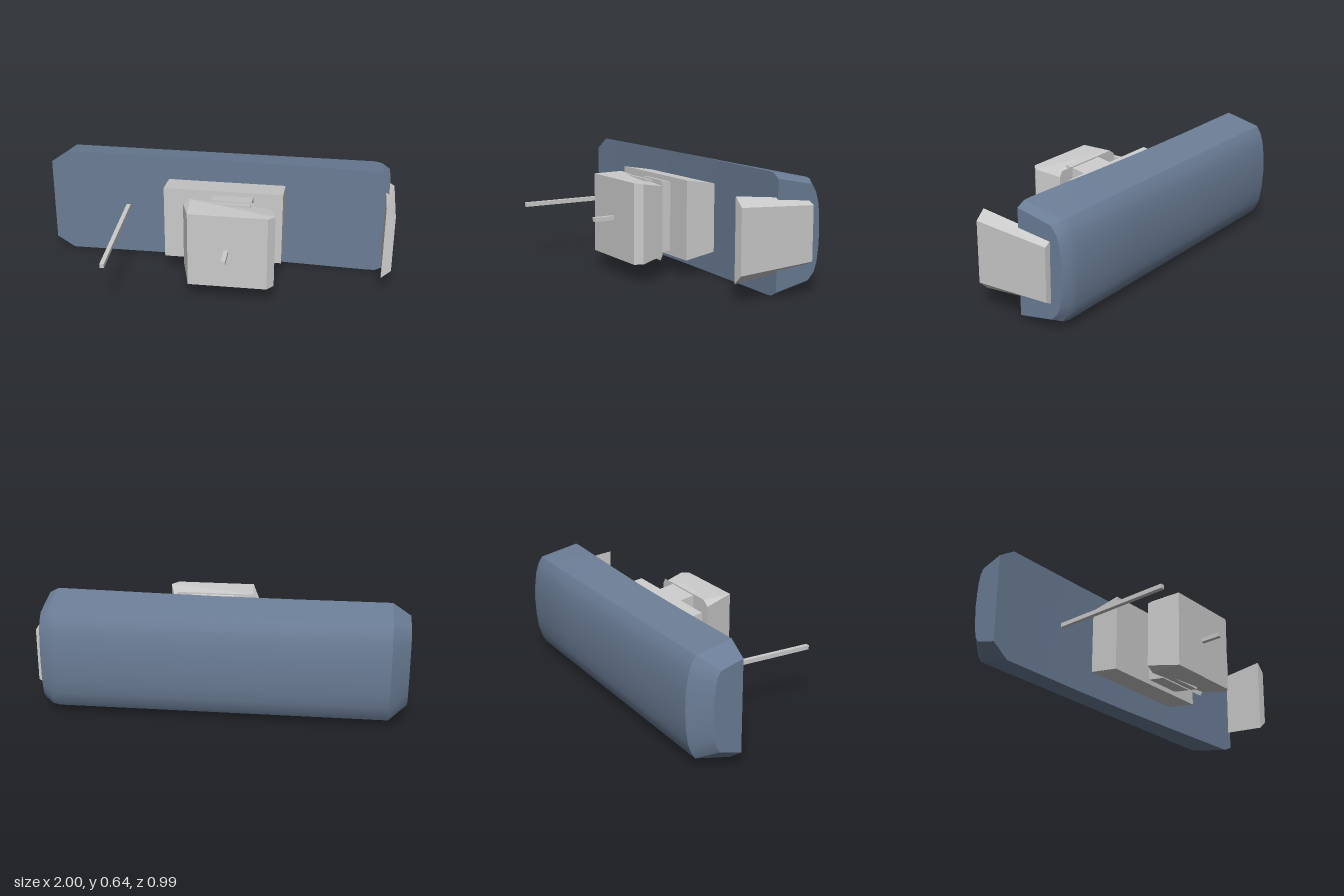
import * as THREE from 'three';
import { toCreasedNormals } from 'three/addons/utils/BufferGeometryUtils.js';

const GREY = 0xcccccc, BLUE = 0x6b7d96, MID = 0.319;

// Skin between equal-length rings; rings run counter-clockwise seen from the last one.
function loft(name, rings, color = GREY, crease = 0.1) {
  const n = rings[0].length, last = (rings.length - 1) * n, index = [];
  for (let s = 0; s < last; s += n) {
    for (let i = 0; i < n; i++) {
      const j = (i + 1) % n;
      index.push(s + i, s + j, s + n + i, s + j, s + n + j, s + n + i);
    }
  }
  for (let i = 1; i < n - 1; i++) {
    index.push(0, i + 1, i, last, last + i, last + i + 1);
  }
  const geo = new THREE.BufferGeometry();
  geo.setAttribute('position', new THREE.Float32BufferAttribute(rings.flat(2), 3));
  geo.setIndex(index);
  const mesh = new THREE.Mesh(toCreasedNormals(geo, crease), new THREE.MeshStandardMaterial({ color }));
  mesh.name = name;
  return mesh;
}

// Box between two z planes with a separate half height at each
function taperedBox(name, x0, x1, zBack, hBack, zFront, hFront) {
  const ring = (z, h) => [[x0, MID - h, z], [x1, MID - h, z], [x1, MID + h, z], [x0, MID + h, z]];
  return loft(name, [ring(zBack, hBack), ring(zFront, hFront)]);
}

// Slender square rod along z
function rod(name, x, z0, z1) {
  const mesh = new THREE.Mesh(
    new THREE.BoxGeometry(0.024, 0.024, z1 - z0),
    new THREE.MeshStandardMaterial({ color: GREY })
  );
  mesh.position.set(x, MID, (z0 + z1) / 2);
  mesh.name = name;
  return mesh;
}

// Long body: half profiles of [z, half height], mirrored about the middle
function body() {
  const full = [[-0.44, 0.273], [-0.465, 0.235], [-0.483, 0.18], [-0.494, 0.1], [-0.499, 0]];
  const leftEnd = [[-0.36, 0.215], [-0.38, 0.185], [-0.39, 0.14], [-0.396, 0.08], [-0.4, 0]];
  const rightEnd = [[-0.4, 0.25], [-0.435, 0.21], [-0.452, 0.16], [-0.461, 0.09], [-0.465, 0]];
  const nearEnd = full.map(([z, h]) => [z + 0.01, h - 0.004]);
  // x, front z, front half height, rear profile
  const stations = [
    [-1, -0.237, 0.25, leftEnd], [-0.9, -0.24, 0.319, full], [-0.4, -0.242, 0.319, full],
    [0, -0.238, 0.319, full], [0.4, -0.223, 0.319, full], [0.88, -0.2, 0.319, full],
    [0.92, -0.198, 0.316, nearEnd], [0.965, -0.195, 0.29, rightEnd]
  ];
  const rings = stations.map(([x, zf, hf, rear]) => {
    const half = [[zf, hf], ...rear];
    const lower = half.map(([z, h]) => [x, MID - h, z]);
    const upper = half.slice(0, -1).reverse().map(([z, h]) => [x, MID + h, z]);
    return [...lower, ...upper];
  });
  return loft('body', rings, BLUE, 0.4);
}

// Front block: plan outline of [x, z, half height], with pinched side corners
function frontBlock() {
  const plan = [
    [-0.13, 0.08, 0.22], [-0.17, 0.08, 0.19], [-0.12, 0.26, 0.22], [0.32, 0.26, 0.22],
    [0.357, 0.222, 0.216], [0.318, 0.08, 0.19], [0.3, 0.08, 0.22]
  ];
  return loft('frontBlock', [-1, 1].map(s => plan.map(([x, z, h]) => [x, MID + s * h, z])));
}

// Side panel: outer face smaller than the inner face, both narrowing to the rear
function sidePanel() {
  const ring = (x, hFront, hBack) => [
    [x, MID - hFront, 0.05], [x, MID - hBack, -0.395], [x, MID + hBack, -0.395], [x, MID + hFront, 0.05]
  ];
  return loft('sidePanel', [ring(0.947, 0.22, 0.174), ring(1, 0.17, 0.146)]);
}

export function createModel() {
  const model = new THREE.Group();
  model.name = 'model';
  model.add(
    body(),
    taperedBox('rearBlock', -0.3, 0.377, -0.215, 0.19, -0.036, 0.22),
    taperedBox('neck', -0.02, 0.21, -0.04, 0.192, 0.125, 0.22),
    frontBlock(),
    sidePanel(),
    rod('longRod', -0.545, -0.21, 0.495),
    rod('shortRod', 0.093, 0.25, 0.38)
  );
  return model;
}
